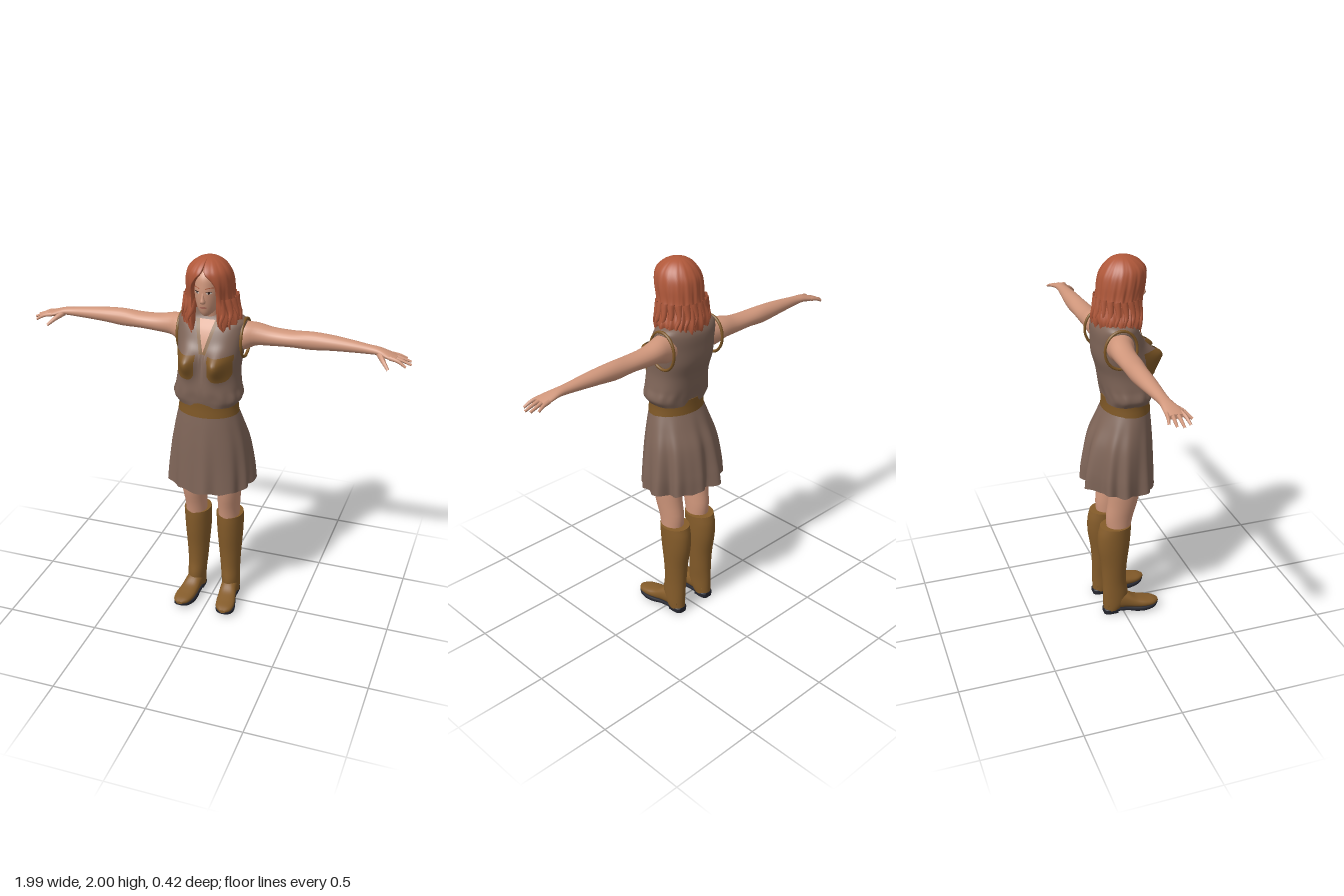
import * as THREE from 'three';

const mat = (name, color, side = THREE.FrontSide) => {
  const m = new THREE.MeshStandardMaterial({ color, side });
  m.name = name;
  return m;
};
const { sin, cos, abs, sign, exp, PI } = Math;

// Smooth interpolation of a table whose first column is the key
function sample(table, k) {
  let i = 0;
  while (i < table.length - 2 && k > table[i + 1][0]) i++;
  const a = table[i], b = table[i + 1], p = table[i - 1] || a, n = table[i + 2] || b;
  const h = b[0] - a[0], t = THREE.MathUtils.clamp((k - a[0]) / h, 0, 1);
  return a.map((v, c) => {
    const m0 = (b[c] - p[c]) / (b[0] - p[0]) * h, m1 = (n[c] - v) / (n[0] - a[0]) * h;
    return v + (b[c] - v) * t * t * (3 - 2 * t) + m0 * t * (1 - t) * (1 - t) - m1 * t * t * (1 - t);
  });
}

// Skin over rings of points; closed round each ring, optionally capped
function loft(rings, capStart = true, capEnd = true) {
  const n = rings[0].length, pos = rings.flat(2), idx = [];
  for (let i = 0; i < rings.length - 1; i++) for (let j = 0; j < n; j++) {
    const a = i * n + j, b = i * n + (j + 1) % n;
    idx.push(a, b, a + n, b, b + n, a + n);
  }
  const cap = (r, flip) => {
    const base = pos.length / 3;
    pos.push(...r.flat());
    pos.push(...[0, 1, 2].map(c => r.reduce((s, p) => s + p[c], 0) / n));
    for (let j = 0; j < n; j++) {
      const a = base + j, b = base + (j + 1) % n;
      idx.push(base + n, flip ? b : a, flip ? a : b);
    }
  };
  if (capStart) cap(rings[0], true);
  if (capEnd) cap(rings[rings.length - 1], false);
  return build(pos, idx);
}
function build(pos, idx) {
  const g = new THREE.BufferGeometry();
  g.setAttribute('position', new THREE.Float32BufferAttribute(pos, 3));
  g.setIndex(idx);
  g.computeVertexNormals();
  return g;
}
// Rings for a table over a number of steps; point(row, angle) gives one vertex
function rings(table, steps, sides, point) {
  const k0 = table[0][0], k1 = table[table.length - 1][0];
  return Array.from({ length: steps + 1 }, (_, i) => {
    const row = sample(table, k0 + (k1 - k0) * i / steps);
    return Array.from({ length: sides }, (_, j) => point(row, j / sides * 2 * PI));
  });
}
const pow = (v, e) => sign(v) * abs(v) ** e;
// Section makers: upright [y,cx,rx,cz,rz], sideways [x,cy,ry,cz,rz], forward [z,cx,rx,y0,y1]
const upright = ([y, cx, rx, cz, rz], t) => [cx + rx * sin(t), y, cz + rz * cos(t)];
const sideways = ([x, cy, ry, cz, rz], t) => [x, cy + ry * cos(t), cz + rz * sin(t)];
const forward = e => ([z, cx, rx, y0, y1], t) =>
  [cx + rx * pow(cos(t), e), (y0 + y1) / 2 + (y1 - y0) / 2 * pow(sin(t), e), z];

// Thin patch laid on a front surface; map(u, v) gives x, y
function plate(front, map, lift = 0.005, nu = 12, nv = 12) {
  const pos = [], idx = [];
  for (let j = 0; j <= nv; j++) for (let i = 0; i <= nu; i++) {
    const [x, y] = map(i / nu, j / nv);
    pos.push(x, y, front(x, y) + lift);
  }
  for (let j = 0; j < nv; j++) for (let i = 0; i < nu; i++) {
    const a = j * (nu + 1) + i, b = a + nu + 1;
    idx.push(a, a + 1, b, a + 1, b + 1, b);
  }
  return build(pos, idx);
}
// Tube narrowing from r0 to r1
function taper(points, r0, r1, n = 8) {
  const curve = new THREE.CatmullRomCurve3(points.map(p => new THREE.Vector3(...p)));
  const g = new THREE.TubeGeometry(curve, n, 1, 8), p = g.attributes.position, v = new THREE.Vector3();
  for (let i = 0; i < p.count; i++) {
    const s = Math.floor(i / 9) / n, c = curve.getPointAt(s);
    v.fromBufferAttribute(p, i).sub(c).multiplyScalar(r0 + (r1 - r0) * s).add(c);
    p.setXYZ(i, v.x, v.y, v.z);
  }
  g.computeVertexNormals();
  return g;
}
function mirrored(geo) {
  const g = geo.clone().scale(-1, 1, 1), ix = g.index.array;
  for (let i = 0; i < ix.length; i += 3) [ix[i], ix[i + 1]] = [ix[i + 1], ix[i]];
  return g;
}

// Blouse sections: y, rx, cz, rz
const TORSO = [[1.25, .152, .047, .117], [1.285, .176, .048, .122], [1.34, .166, .045, .13], [1.42, .157, .033, .132],
  [1.5, .163, .012, .132], [1.58, .17, 0, .122], [1.64, .173, -.012, .107], [1.672, .168, -.017, .088],
  [1.692, .12, -.017, .07], [1.705, .05, -.01, .045]];
const bust = (x, y) => .078 * exp(-(((abs(x) - .08) / .052) ** 2) - ((y - 1.495) / (y < 1.495 ? .075 : .05)) ** 2);
const chest = (x, y) => {
  const [, rx, cz, rz] = sample(TORSO, y);
  const c = Math.max(0, 1 - abs(x / rx) ** 2.5) ** .4;
  return cz + c * (rz + bust(x, y));
};
// Head sections: y, cx, rx, cz, rz
const HEAD = [[1.718, 0, .018, .085, .025], [1.735, 0, .038, .068, .053], [1.77, 0, .055, .055, .077],
  [1.82, 0, .067, .04, .1], [1.87, 0, .071, .036, .104], [1.92, 0, .07, .032, .098], [1.97, 0, .04, .03, .06]];
const face = (x, y) => {
  const [, , rx, cz, rz] = sample(HEAD, y);
  return cz + rz * Math.sqrt(Math.max(0, 1 - (x / rx) ** 2));
};

export function createModel() {
  const root = new THREE.Group();
  const skin = mat('skin', 0xcf967b), cloth = mat('dress cloth', 0x7f6558, THREE.DoubleSide);
  const trim = mat('tan trim', 0x7e5726, THREE.DoubleSide), boot = mat('boot leather', 0x855c2a);
  const sole = mat('sole', 0x25262f), hairM = mat('hair', 0xb0583a, THREE.DoubleSide);
  const lip = mat('lips', 0xb5705f), dark = mat('eye', 0x35231f), white = mat('eye white', 0xd8cdc4);
  const add = (name, geo, m) => {
    const mesh = new THREE.Mesh(geo, m);
    mesh.name = name;
    root.add(mesh);
  };
  const pair = (name, geo, m) => {
    add(name + 'Left', geo, m);
    add(name + 'Right', mirrored(geo), m);
  };

  // Blouse, belt and pleated skirt
  add('blouse', loft(rings(TORSO, 60, 72, ([y, rx, cz, rz], t) => {
    const x = rx * pow(sin(t), .8), c = pow(cos(t), .8);
    const gather = 1 + .018 * sin(13 * t + 1) * exp(-(((y - 1.3) / .035) ** 2));
    return [x * gather, y, cz + c * (rz * gather + (c > 0 ? bust(x, y) : 0))];
  })), cloth);
  add('belt', loft(rings([[1.195, 0, .159, .047, .125], [1.24, 0, .154, .047, .122], [1.278, 0, .156, .047, .122]], 6, 48, upright)), trim);
  const SKIRT = [[0, 0, .225, .005, .19], [.1, 0, .22, .006, .185], [.25, 0, .203, .016, .168],
    [.36, 0, .177, .034, .142], [.44, 0, .154, .047, .121]];
  add('skirt', loft(rings(SKIRT, 24, 160, ([h, , rx, cz, rz], t) => {
    const d = (1 - h / .44) ** 1.3, back = .65 - .35 * cos(t);
    const f = 1 + d * back * (.085 * sin(11 * t + .6) + .05 * sin(7 * t + 2) + .03 * sin(17 * t));
    const y0 = .765 + .013 * (1 - cos(t)) + .006 * sin(11 * t);
    return [rx * f * sin(t), y0 + h * (1.21 - y0) / .44, cz + rz * f * cos(t)];
  }), false, false), cloth);

  // Neckline, collar, placket and pockets
  const vee = y => (y - 1.53) * .27;
  const yv = v => 1.53 + .155 * v;
  add('neckline', plate(chest, (u, v) => [(2 * u - 1) * vee(yv(v)), yv(v)], .004), skin);
  pair('collar', plate(chest, (u, v) => [vee(yv(v)) + .018 * u - .002, yv(v)], .007), trim);
  add('placket', plate(chest, (u, v) => [(u - .5) * .024, 1.285 + .25 * v], .004), cloth);
  pair('pocket', plate(chest, (u, v) => [.035 + .108 * u, 1.525 - (1 - v) * (.125 - .03 * (2 * u - 1) ** 4)], .004), trim);
  pair('pocketFlap', plate(chest, (u, v) => [.031 + .116 * u, 1.53 - (1 - v) * (.05 - .022 * abs(2 * u - 1))], .009), trim);
  pair('armholeRim', new THREE.TorusGeometry(1, .08, 8, 40).rotateY(PI / 2).scale(.1, .098, .083).translate(.166, 1.575, -.03), trim);

  // Arms and hands
  pair('arm', loft(rings([[.12, 1.585, .07, -.03, .065], [.17, 1.587, .072, -.032, .068], [.22, 1.595, .058, -.045, .06],
    [.3, 1.59, .046, -.05, .054], [.4, 1.59, .041, -.052, .052], [.5, 1.59, .045, -.058, .046],
    [.6, 1.592, .038, -.058, .042], [.7, 1.59, .03, -.055, .034], [.78, 1.587, .023, -.052, .028],
    [.83, 1.585, .019, -.05, .031], [.88, 1.574, .016, -.042, .042], [.92, 1.565, .011, -.041, .041]], 48, 24, sideways)), skin);
  const tips = [[.962, 1.55, -.09], [.987, 1.546, -.062], [.993, 1.542, -.03], [.972, 1.541, .006]];
  tips.forEach(([x, y, z], i) => {
    const bz = -.073 + i * .021;
    pair('finger' + (i + 1), taper([[.89, 1.571, bz], [.93, 1.564, (bz + z) / 2], [x, y, z]], .0115, .006), skin);
  });
  pair('thumb', taper([[.835, 1.578, -.035], [.865, 1.557, .012], [.895, 1.53, .043]], .017, .007), skin);

  // Legs and boots
  pair('leg', loft(rings([[.5, .092, .055, -.02, .06], [.6, .093, .058, -.015, .073], [.68, .097, .062, 0, .08],
    [.77, .1, .067, .01, .087], [1, .085, .082, .02, .1]], 16, 28, upright)), skin);
  pair('bootShaft', loft(rings([[.025, .1, .042, -.06, .048], [.06, .1, .047, -.045, .064], [.12, .099, .049, -.04, .07],
    [.2, .095, .053, -.045, .066], [.3, .093, .06, -.046, .071], [.42, .092, .069, -.047, .087],
    [.5, .092, .072, -.043, .09], [.55, .092, .073, -.036, .084]], 30, 28, upright)), boot);
  pair('bootFoot', loft(rings([[-.09, .1, .035, .03, .09], [-.04, .1, .044, .025, .13], [.02, .104, .046, .024, .115],
    [.07, .111, .05, .022, .086], [.12, .118, .052, .022, .072], [.17, .123, .041, .026, .062],
    [.196, .125, .016, .035, .052]], 28, 24, forward(.85))), boot);
  pair('bootSole', loft(rings([[-.06, .1, .04, .018, .034], [.02, .104, .043, .012, .032], [.07, .111, .05, .004, .03],
    [.12, .118, .053, .006, .03], [.17, .123, .041, .015, .034], [.193, .125, .018, .026, .04]], 18, 20, forward(.4))), sole);
  pair('bootHeel', loft(rings([[-.108, .1, .022, 0, .032], [-.095, .1, .037, 0, .034], [-.035, .1, .04, 0, .034]], 8, 20, forward(.4))), sole);

  // Neck, head and face
  add('neck', loft(rings([[1.64, 0, .06, -.01, .055], [1.69, 0, .046, .005, .045], [1.78, 0, .043, .025, .047]], 8, 24, upright)), skin);
  add('head', loft(rings(HEAD, 28, 36, upright)), skin);
  add('nose', loft(rings([[1.787, 0, .008, .132, .01], [1.797, 0, .014, .136, .018], [1.815, 0, .009, .136, .014],
    [1.85, 0, .006, .133, .006]], 10, 12, upright)), skin);
  const oval = (cx, cy, w, h) => (u, v) => [cx + (u - .5) * w, cy + (v - .5) * h * sin(PI * (.06 + .88 * u))];
  pair('eyeWhite', plate(face, oval(.03, 1.843, .026, .011), .002), white);
  pair('iris', plate(face, oval(.03, 1.843, .01, .011), .003), dark);
  pair('upperLid', plate(face, oval(.03, 1.849, .029, .004), .004), dark);
  pair('brow', plate(face, (u, v) => [.013 + .036 * u, 1.861 + .006 * sin(PI * u * .8) + .004 * v], .003), hairM);
  add('mouth', plate(face, oval(0, 1.767, .04, .013), .003), lip);

  // Hair: horseshoe shell open at the face, y, rx, rz, cz, half opening
  const HAIR = [[1.635, .128, .1, .002, .5], [1.66, .143, .112, 0, .47], [1.7, .148, .12, 0, .46], [1.75, .133, .118, .006, .5],
    [1.8, .12, .115, .014, .56], [1.87, .119, .12, .026, .52], [1.91, .114, .118, .032, .34], [1.94, .103, .108, .037, .1],
    [1.965, .084, .088, .037, .02], [1.985, .058, .06, .035, .01], [1.996, .03, .032, .033, .005], [2, .005, .005, .032, .002]];
  const N = 110, shell = [];
  for (let i = 0; i <= 48; i++) {
    const k = i / 48, [y, rx, rz, cz, o] = sample(HAIR, 1.635 + .365 * (1 - (1 - k) ** 1.5));
    const fall = Math.max(0, 1 - (y - 1.635) / .3), thick = Math.min(.2, k * 2.5) * (1 - k ** 8);
    const ring = [];
    for (let j = 0; j < 2 * N; j++) {
      const inner = j >= N, u = (inner ? 2 * N - 1 - j : j) / (N - 1), t = o + (2 * PI - 2 * o) * u;
      const wave = 1 + (.01 + .04 * fall) * sin(15 * t + 9 * y) + .018 * sin(31 * t - 14 * y) * Math.min(1, fall + .25);
      const s = (inner ? 1 - thick : 1) * wave;
      const drop = fall ** 3 * (.022 * sin(15 * t + 1) + .016 * sin(26 * t));
      ring.push([rx * s * sin(t), Math.min(2, y + drop), cz + rz * s * cos(t)]);
    }
    shell.push(ring);
  }
  add('hair', loft(shell, false, true), hairM);
  // Loose locks round the hem
  for (let i = 0; i < 16; i++) {
    const t = .62 + i / 15 * (2 * PI - 1.24), w = .006 * sin(i * 5.3), low = 1.635 + .018 * sin(i * 3.7);
    const at = (r, y, d = 0) => [.14 * r * sin(t + d), y, .005 + .115 * r * cos(t + d)];
    add('hairLock' + (i + 1), taper([at(.86, 1.8), at(.98, 1.73, .08), at(1.04 + w, 1.685, -.05), at(1.0 + w * 4, low, .08)], .02, .002, 10), hairM);
  }
  return root;
}
